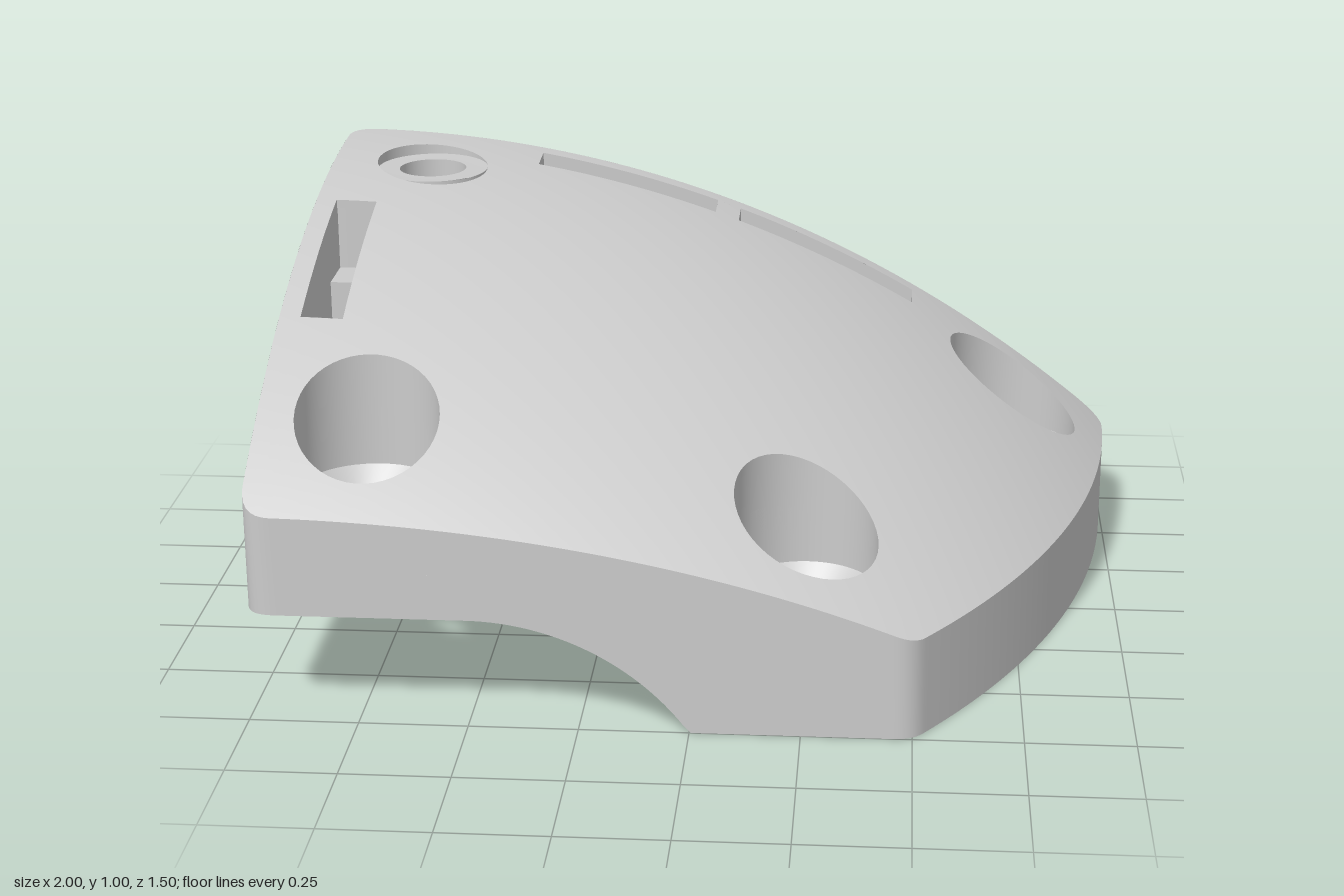
import * as THREE from 'three';
import { toCreasedNormals } from 'three/addons/utils/BufferGeometryUtils.js';

const mat = new THREE.MeshStandardMaterial({ color: 0xcccccc, side: THREE.DoubleSide });
const V = (x, z) => new THREE.Vector2(x, z);
const SKIN = 0.11;

// domed top: each x-profile runs from the arched left edge down to the level outer rim
function height(x, z) {
  const w = (z + 0.75) ** 2, start = 0.2016 * w + 0.0102 * w * w;
  const t = ((x + 1) / (Math.sqrt(6.25 - w) - 0.5)) ** 2;
  return 1 - start - (0.765 - start) * (0.887 * t + 0.113 * t * t);
}
const under = (x, z) => height(x, z) - SKIN;

// screw posts: plan position, bottom, seat height, bore radius, seat cone rise, flange, and cell ends on the side walls
const posts = [
  { x: -0.75, z: 0.5, b: 0.26, f: 0.43, r: 0.165, cone: 0.04, fl: 0.035, sx: -1, sz: 1, wx: -0.97, wz: 0.72 },
  { x: 0.25, z: 0.5, b: 0, f: 0.21, r: 0.165, cone: 0.04, fl: 0.035, sx: 1, sz: 1, wx: 0.75, wz: 0.72 },
  { x: 0.75, z: -0.5, b: 0, f: 0.2, r: 0.165, cone: 0.04, fl: 0.035, sx: 1, sz: -1, wx: 0.94, wz: -0.72 },
  { x: -0.75, z: -0.5, b: 0.61, f: 0.963, r: 0.14, cone: 0.001, fl: 0, sx: -1, sz: -1, wx: -0.97, wz: -0.72 },
];
// slots: plan rectangle, pocket floor, lug height
const slots = [
  { x0: -0.49, x1: -0.03, z0: -0.7, z1: -0.6, floor: 0.66, lug: 0.235 },
  { x0: 0.03, x1: 0.485, z0: -0.7, z1: -0.6, floor: 0.45, lug: 0.235 },
  { x0: -0.95, x1: -0.85, z0: -0.24, z1: 0.235, floor: 0.62, lug: 0.42 },
];
const LUG_X = [-0.25, 0.25], ARCH = 0.16, SHAFT = 0.115;

function outline() {
  const s = new THREE.Shape();
  s.moveTo(-0.93, -0.75);
  s.lineTo(0.93, -0.75);
  s.quadraticCurveTo(1, -0.75, 0.999, -0.68);
  s.absarc(-1.5, -0.75, 2.5, 0.028, 0.625, false);
  s.quadraticCurveTo(0.504, 0.75, 0.46, 0.75);
  s.lineTo(-0.93, 0.75);
  s.quadraticCurveTo(-1, 0.75, -1, 0.68);
  s.lineTo(-1, -0.68);
  s.quadraticCurveTo(-1, -0.75, -0.93, -0.75);
  const p = s.getSpacedPoints(440);
  p.pop();
  return p;
}

// lower edge of the outer wall, with notch, arches and the curved front cutout
function wallBottom(x, z) {
  const arch = (d, y) => y + Math.sqrt(ARCH ** 2 - d * d);
  if (z < -0.7 && x < 0.9) {
    if (x < -0.41) return 0.615;
    for (const c of LUG_X) if (Math.abs(x - c) < ARCH) return arch(x - c, 0.235);
    return x < 0.5 ? 0.09 : 0;
  }
  if (x < -0.95 && z < 0.7) {
    if (Math.abs(z) < ARCH) return arch(z, 0.42);
    return z < 0 ? 0.615 : z < 0.3 ? 0.275 : 0.26;
  }
  if (z > 0.7 && x < 0) return x < -0.5 ? 0.26 : -0.351 + Math.sqrt(0.611 ** 2 - (x + 0.5) ** 2);
  return 0;
}

const circle = (x, z, r, n = 48) => Array.from({ length: n }, (_, i) => {
  const a = i / n * Math.PI * 2;
  return V(x + r * Math.cos(a), z + r * Math.sin(a));
});
// subdivided polyline
function polyline(corners, n = 8) {
  const out = [];
  for (let i = 0; i < corners.length - 1; i++)
    for (let k = 0; k < n; k++) out.push(corners[i].clone().lerp(corners[i + 1], k / n));
  out.push(corners[corners.length - 1]);
  return out;
}
const rect = (x0, z0, x1, z1) => {
  const p = polyline([V(x0, z0), V(x1, z0), V(x1, z1), V(x0, z1), V(x0, z0)]);
  p.pop();
  return p;
};

// upright wall following a plan path, thickened to the path's left; the thickened side stops just below the skin
function wall(path, t, top, bot, closed) {
  const n = path.length, pos = [];
  const at = i => path[closed ? (i + n) % n : Math.min(Math.max(i, 0), n - 1)];
  const rows = path.map((p, i) => {
    const d = at(i + 1).clone().sub(at(i - 1)).normalize();
    const q = V(p.x - d.y * t, p.y + d.x * t), b = bot(p.x, p.y);
    return [[p.x, top(p.x, p.y), p.y], [p.x, b, p.y], [q.x, b, q.y], [q.x, top(q.x, q.y) - 0.02, q.y]];
  });
  const quad = (a, b, c, d) => pos.push(...a, ...b, ...c, ...b, ...d, ...c);
  for (let i = 0; i < (closed ? n : n - 1); i++) {
    const A = rows[i], B = rows[(i + 1) % n];
    for (let j = 0; j < 3; j++) quad(A[j], B[j], A[j + 1], B[j + 1]);
  }
  if (!closed) for (const r of [rows[0], rows[n - 1]]) quad(r[0], r[1], r[3], r[2]);
  const g = new THREE.BufferGeometry();
  g.setAttribute('position', new THREE.Float32BufferAttribute(pos, 3));
  return toCreasedNormals(g, 0.5);
}

// curved sheet: flat shape refined by bisecting long edges, then lifted onto the dome
function sheet(shape, drop, up) {
  const g = new THREE.ShapeGeometry(shape).toNonIndexed(), p = g.attributes.position;
  const stack = [], pos = [], nor = [];
  for (let i = 0; i < p.count; i += 3) stack.push([0, 1, 2].map(k => [p.getX(i + k), p.getY(i + k)]));
  const len = (a, b) => (a[0] - b[0]) ** 2 + (a[1] - b[1]) ** 2;
  const e = 1e-3;
  while (stack.length) {
    let [a, b, c] = stack.pop();
    const l = [len(a, b), len(b, c), len(c, a)], m = Math.max(...l);
    if (m > 0.01) {
      if (m === l[1]) [a, b, c] = [b, c, a];
      else if (m === l[2]) [a, b, c] = [c, a, b];
      const h = [(a[0] + b[0]) / 2, (a[1] + b[1]) / 2];
      stack.push([a, h, c], [h, b, c]);
      continue;
    }
    for (const [x, z] of up ? [a, c, b] : [a, b, c]) {
      pos.push(x, height(x, z) - drop, z);
      const v = new THREE.Vector3((height(x - e, z) - height(x + e, z)) / (2 * e), 1,
        (height(x, z - e) - height(x, z + e)) / (2 * e)).normalize().multiplyScalar(up ? 1 : -1);
      nor.push(v.x, v.y, v.z);
    }
  }
  const out = new THREE.BufferGeometry();
  out.setAttribute('position', new THREE.Float32BufferAttribute(pos, 3));
  out.setAttribute('normal', new THREE.Float32BufferAttribute(nor, 3));
  return out;
}

const extrude = (s, depth) => toCreasedNormals(
  new THREE.ExtrudeGeometry(s, { depth, bevelEnabled: false, curveSegments: 20 }), 0.5);
const boltHole = () => new THREE.Path(circle(0, 0, 0.072, 32));

// arched plate with a cross hole, one lower corner rounded
function archPlate(r, depth) {
  const s = new THREE.Shape();
  s.moveTo(r, -0.145);
  s.lineTo(r, 0);
  s.absarc(0, 0, r, 0, Math.PI, false);
  s.quadraticCurveTo(-r, -0.145, -0.02, -0.145);
  s.holes.push(boltHole());
  return extrude(s, depth);
}
// round-bottomed shaft wall of height h (hollow), or its end plate (with cross hole)
function shaftPart(h, depth, hollow) {
  const r = SHAFT + 0.03, s = new THREE.Shape();
  s.moveTo(-r, h);
  s.lineTo(-r, 0);
  s.absarc(0, 0, r, Math.PI, Math.PI * 2, false);
  s.lineTo(r, h);
  if (hollow) {
    s.lineTo(SHAFT, h);
    s.lineTo(SHAFT, 0);
    s.absarc(0, 0, SHAFT, Math.PI * 2, Math.PI, true);
    s.lineTo(-SHAFT, h);
  } else s.holes.push(boltHole());
  return extrude(s, depth);
}

export function createModel() {
  const root = new THREE.Group();
  const add = (name, geo, x = 0, y = 0, z = 0) => {
    const m = new THREE.Mesh(geo, mat);
    m.name = name;
    m.position.set(x, y, z);
    root.add(m);
    return m;
  };
  const box = (name, w, h, d, x, y, z) => add(name, new THREE.BoxGeometry(w, h, d), x, y, z);

  // domed shell and outer wall
  const edge = outline(), shape = new THREE.Shape(edge);
  for (const p of posts) shape.holes.push(new THREE.Path(circle(p.x, p.z, p.r)));
  for (const s of slots) shape.holes.push(new THREE.Path(rect(s.x0, s.z0, s.x1, s.z1)));
  add('domeTop', sheet(shape, 0, true));
  add('domeUnderside', sheet(shape, SKIN, false));
  add('outerWall', wall(edge, 0.05, height, wallBottom, true));

  // counterbored screw posts with corner cells
  for (const { x, z, b, f, r, cone, fl, sx, sz, wx, wz } of posts) {
    add('postTube', wall(circle(x, z, r), -0.035, height, () => Math.min(f - 0.02, under(x, z)), true));
    const prof = [[r, f + cone], [r - 0.035, f], [0.085, f], [0.085, b + 0.04], [0.115, b + 0.04],
      [0.115, f - 0.05], [r + fl, f - 0.05], [r + fl, f]].map(q => V(...q)).reverse();
    add('screwSeat', toCreasedNormals(new THREE.LatheGeometry(prof, 48), 0.5), x, 0, z);
    const path = [V(x - sx * 0.2, wz)];
    for (let i = 0; i <= 12; i++) {
      const a = i / 12 * Math.PI / 2;
      path.push(V(x - sx * 0.2 * Math.cos(a), z - sz * 0.2 * Math.sin(a)));
    }
    path.push(V(wx, z - sz * 0.2));
    add('cellWall', wall(path, 0.035 * sx * sz, under, () => b, false));
    for (let i = 0; i < 4; i++) {
      const a = Math.PI / 4 + i * Math.PI / 2, h = f - b - 0.09;
      box('seatSpoke', 0.1, h, 0.025, x + 0.155 * Math.cos(a), f - 0.05 - h / 2, z + 0.155 * Math.sin(a)).rotation.y = -a;
    }
  }

  // slot pockets with raised ends and a central shaft down to each lug
  const recessGeo = archPlate(ARCH, 0.025), lugGeo = archPlate(SHAFT, 0.04);
  slots.forEach((s, i) => {
    const { x0, x1, z0, z1, floor, lug } = s, side = i === 2;
    const cx = side ? (x0 + x1) / 2 : LUG_X[i], cz = side ? 0 : (z0 + z1) / 2;
    add('slotPocket', wall(rect(x0 - 0.025, z0 - 0.025, x1 + 0.025, z1 + 0.025), 0.025, under, () => floor - 0.03, true));
    add('slotSides', wall(rect(x0, z0, x1, z1), 0.001, height, () => floor, true));
    const mid = side ? cz : cx, ends = side ? [z0, z1] : [x0, x1];
    for (const [a, b] of [[ends[0], mid - SHAFT], [mid + SHAFT, ends[1]]]) {
      const ex = side ? cx : (a + b) / 2, ez = side ? (a + b) / 2 : cz;
      const low = floor - 0.03, top = Math.max(floor, height(ex, ez) - 0.16);
      box('slotSill', side ? 0.1 : b - a, top - low, side ? b - a : 0.1, ex, (top + low) / 2, ez);
    }
    const h = floor - lug;
    const parts = [['lugRecess', recessGeo, 0.025], ['lug', lugGeo, 0.01],
      ['slotShaft', shaftPart(h, 0.1, true), 0.05], ['shaftBack', shaftPart(h, 0.04, false), 0.15]];
    for (const [name, geo, inset] of parts) {
      const m = add(name, geo, side ? -1 + inset : cx, lug, side ? cz : -0.75 + inset);
      if (side) {
        m.rotation.y = Math.PI / 2;
        m.scale.x = -1;
      }
    }
  });

  // stiffening ribs beneath the dome: small rings with spokes
  const ribBottom = (x, z) => under(x, z) - 0.07;
  for (const [x, z] of [[-0.25, 0.45], [-0.48, 0.12], [0, 0.1], [0.25, -0.22], [0.42, 0.12], [-0.25, -0.25], [0.62, -0.08]]) {
    add('ribRing', wall(circle(x, z, 0.09, 24), 0.025, under, ribBottom, true));
    for (let i = 0; i < 6; i++) {
      const a = (i + 0.5) * Math.PI / 3, c = Math.cos(a), s = Math.sin(a);
      add('rib', wall(polyline([V(x + 0.08 * c, z + 0.08 * s), V(x + 0.22 * c, z + 0.22 * s)], 4),
        0.025, under, ribBottom, false));
    }
  }
  return root;
}
